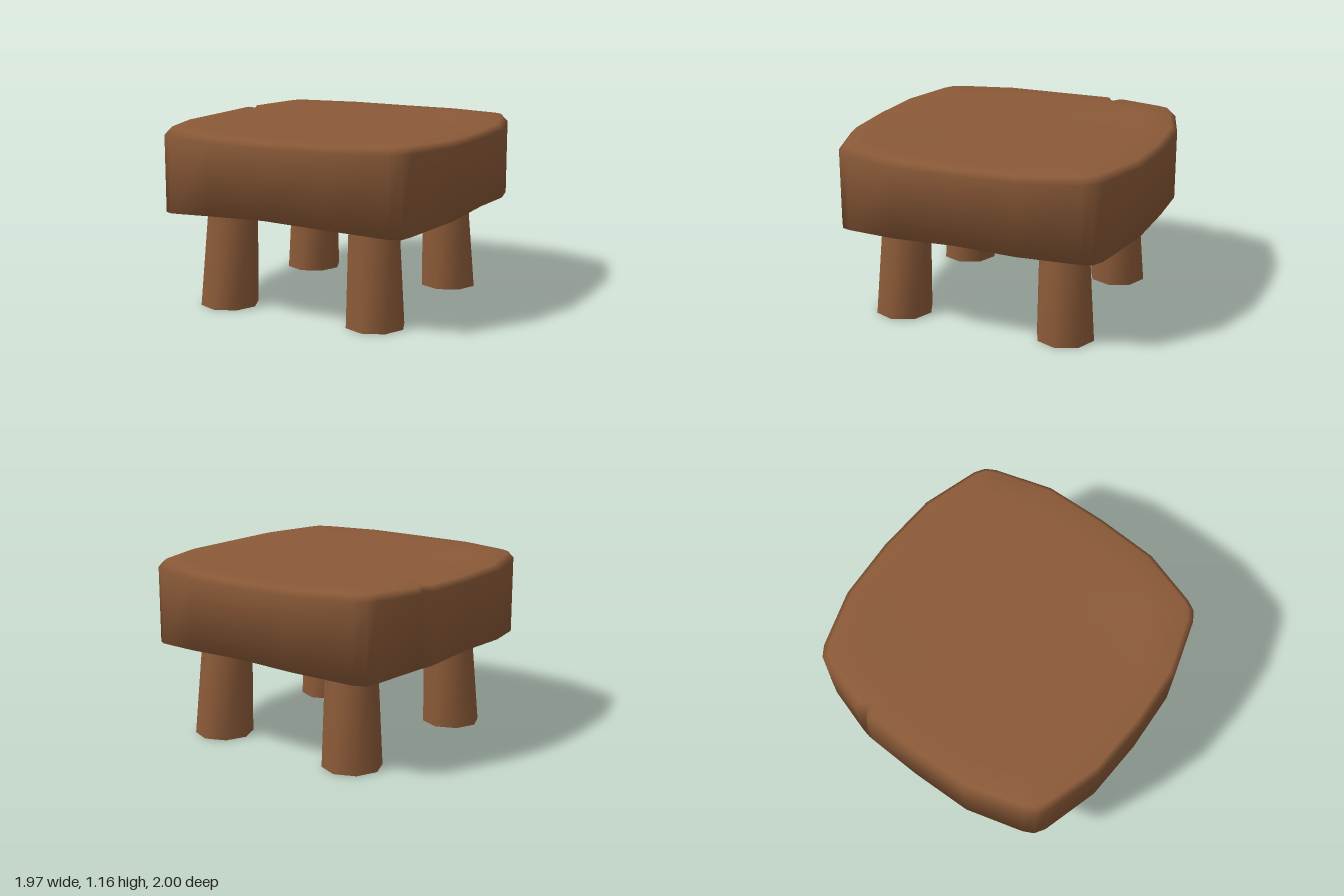
import * as THREE from 'three';

// Seat outline for one quadrant: x, z, underside height of the edge, top height of the inset rim
const QUAD = [
  [0.985, 0, 0.69, 1.153], [0.97, 0.4, 0.672, 1.157], [0.86, 0.76, 0.636, 1.163],
  [0.825, 0.825, 0.628, 1.165], [0.76, 0.867, 0.632, 1.163], [0.4, 0.978, 0.672, 1.157], [0, 1, 0.69, 1.153],
];

// Mirror the quadrant into a full outline running from +x to +z to -x to -z
function seatOutline() {
  const mirror = (sx, sz) => QUAD.map(([x, z, b, t]) => ({ x: x * sx, z: z * sz, b, t, dent: 0 }));
  const pts = [
    ...mirror(1, 1).slice(0, -1), ...mirror(-1, 1).reverse().slice(0, -1),
    ...mirror(-1, -1).slice(0, -1), ...mirror(1, -1).reverse().slice(0, -1),
  ];
  // Small split in the right edge, widest at the top
  const i = pts.findIndex((p) => p.x === -0.97 && p.z === -0.4);
  const lip = (x, z, dent) => ({ x, z, b: 0.671, t: 1.157, dent });
  pts.splice(i, 1, lip(-0.972, -0.35, 0), lip(-0.97, -0.39, 1), lip(-0.957, -0.45, 0));
  return pts;
}

function seatGeometry() {
  const outline = seatOutline();
  const n = outline.length;
  // Rings from the underside centre, around the edge, to the top centre
  const rings = [
    { s: 0.6, y: (p) => 0.65 + (p.b - 0.65) * 0.4, cut: 0 },
    { s: 1, y: (p) => p.b, cut: 0 },
    { s: 1, y: () => 1.122, cut: 0.06 },
    { s: 0.965, y: (p) => p.t - p.dent * 0.01, cut: 0.075 },
    { s: 0.8, y: (p) => p.t - 0.001, cut: 0 },
    { s: 0.5, y: () => 1.15, cut: 0 },
  ];
  const pos = [];
  const index = [];
  for (const { s, y, cut } of rings) {
    for (const p of outline) pos.push(p.x * s + p.dent * cut, y(p), p.z * s);
  }
  const low = pos.length / 3;
  pos.push(0, 0.65, 0, 0, 1.147, 0);
  for (let i = 0; i < n; i++) {
    const j = (i + 1) % n;
    for (let r = 0; r < rings.length - 1; r++) {
      const a = r * n + i, b = r * n + j;
      index.push(a, a + n, b, b, a + n, b + n);
    }
    const top = (rings.length - 1) * n;
    index.push(low, i, j, low + 1, top + j, top + i);
  }
  const geo = new THREE.BufferGeometry();
  geo.setAttribute('position', new THREE.Float32BufferAttribute(pos, 3));
  geo.setIndex(index);
  geo.computeVertexNormals();
  return geo;
}

// Eight-sided tapered leg whose top leans toward the middle
function legGeometry(sx, sz) {
  const height = 0.7;
  const geo = new THREE.CylinderGeometry(0.16, 0.19, height, 8, 1);
  geo.translate(0, height / 2, 0);
  const p = geo.attributes.position;
  for (let i = 0; i < p.count; i++) {
    const lean = 0.025 * p.getY(i) / height;
    p.setX(i, p.getX(i) - sx * lean);
    p.setZ(i, p.getZ(i) - sz * lean);
  }
  geo.computeVertexNormals();
  // Close the shading seam along the side
  const nor = geo.attributes.normal;
  for (const row of [0, 9]) {
    const v = new THREE.Vector3().fromBufferAttribute(nor, row)
      .add(new THREE.Vector3().fromBufferAttribute(nor, row + 8)).normalize();
    for (const k of [row, row + 8]) nor.setXYZ(k, v.x, v.y, v.z);
  }
  return geo;
}

export function createModel() {
  const group = new THREE.Group();
  group.name = 'stool';
  const wood = new THREE.MeshStandardMaterial({ color: 0x8b5a38 });
  wood.name = 'brown wood';

  const seat = new THREE.Mesh(seatGeometry(), wood);
  seat.name = 'seat';
  group.add(seat);

  for (const sx of [1, -1]) {
    for (const sz of [1, -1]) {
      const leg = new THREE.Mesh(legGeometry(sx, sz), wood);
      leg.name = (sz > 0 ? 'front' : 'back') + (sx > 0 ? 'Left' : 'Right') + 'Leg';
      leg.position.set(sx * 0.53, 0, sz * 0.56);
      group.add(leg);
    }
  }
  return group;
}
